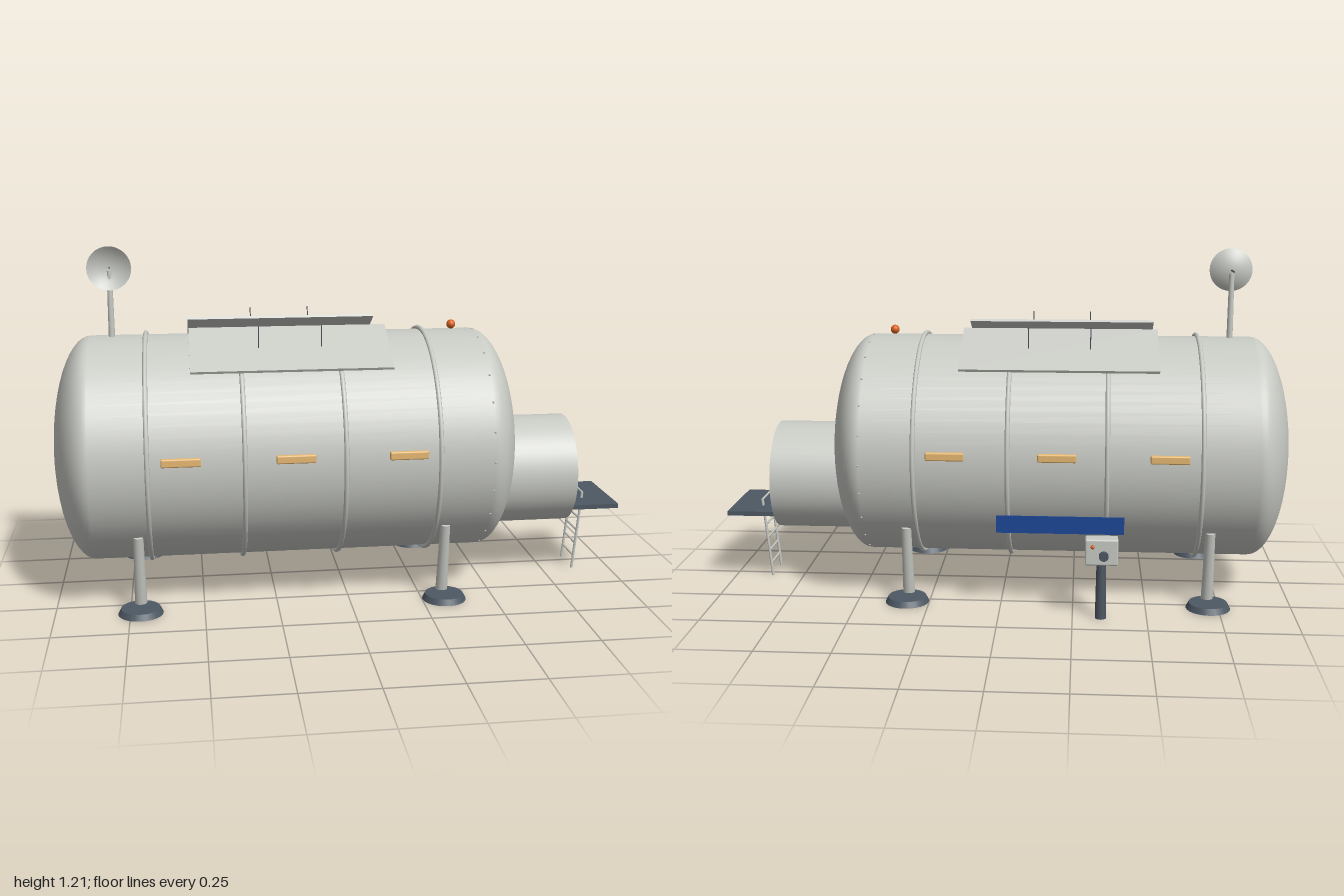
import * as THREE from 'three';
import { RoundedBoxGeometry } from 'three/addons/geometries/RoundedBoxGeometry.js';

const material = (name, color, side = THREE.FrontSide) => {
  const m = new THREE.MeshStandardMaterial({ color, side });
  m.name = name;
  return m;
};

export function createModel() {
  const hull = material('hull grey', 0xc8cac4);
  const shell = material('thin sheet grey', 0xc8cac4, THREE.DoubleSide);
  const slate = material('dark slate', 0x4d5863);
  const orange = material('signal orange', 0xd8601f);
  const amber = material('window amber', 0xe6b872);
  const blue = material('panel blue', 0x1c4796);

  const model = new THREE.Group();
  const Y = 0.507, Z = 0.027, R = 0.39;

  const add = (name, geometry, mat, x = 0, y = 0, z = 0) => {
    const mesh = new THREE.Mesh(geometry, mat);
    mesh.name = name;
    mesh.position.set(x, y, z);
    model.add(mesh);
    return mesh;
  };

  // Round bar between two points
  const bar = (name, a, b, rBottom, rTop, mat, sides = 12) => {
    const from = new THREE.Vector3(...a), to = new THREE.Vector3(...b);
    const dir = to.clone().sub(from);
    const mesh = add(name, new THREE.CylinderGeometry(rTop, rBottom, dir.length(), sides), mat);
    mesh.position.copy(from).add(to).multiplyScalar(0.5);
    mesh.quaternion.setFromUnitVectors(new THREE.Vector3(0, 1, 0), dir.normalize());
    return mesh;
  };

  // Pressure hull: cylinder with elliptical domes, lying along x
  const profile = [];
  const dome = 0.135, steps = 14;
  for (let i = 0; i <= steps; i++) {
    const t = (i / steps) * Math.PI / 2;
    profile.push(new THREE.Vector2(R * Math.sin(t), -0.865 - dome * Math.cos(t)));
  }
  for (let i = 0; i <= steps; i++) {
    const t = (i / steps) * Math.PI / 2;
    profile.push(new THREE.Vector2(R * Math.cos(t), 0.475 + dome * Math.sin(t)));
  }
  add('pressureHull', new THREE.LatheGeometry(profile, 64).rotateZ(-Math.PI / 2), hull, 0, Y, Z);

  // Hoops around the hull
  for (const x of [-0.676, -0.36, -0.027, 0.29]) {
    add('hullRing', new THREE.TorusGeometry(0.396, 0.008, 8, 40).rotateY(Math.PI / 2), hull, x, Y, Z);
  }

  // Rivets on the front dome seam
  for (let i = 0; i < 24; i++) {
    const a = (i / 24) * Math.PI * 2;
    add('rivet', new THREE.SphereGeometry(0.004, 6, 4), hull,
      0.475, Y + R * Math.cos(a), Z + R * Math.sin(a));
  }

  // Side windows and roof panels, mirrored about the hull axis
  for (const s of [1, -1]) {
    for (const x of [-0.567, -0.193, 0.182]) {
      add('sideWindow', new RoundedBoxGeometry(0.13, 0.028, 0.022, 2, 0.005), amber, x, 0.543, Z + s * 0.389);
    }
    const panel = add('roofPanel', new THREE.BoxGeometry(0.669, 0.009, 0.237), hull, -0.195, 0.88, Z + s * 0.2245);
    panel.rotation.x = s * 0.492;
    for (const x of [-0.3, -0.09]) {
      bar('panelStrut', [x, 0.815, Z + s * 0.2245], [x, 0.957, Z + s * 0.2245], 0.002, 0.002, slate, 6);
    }
  }

  // Support legs and foot pads
  for (const x of [-0.715, 0.327]) {
    for (const s of [1, -1]) {
      bar('leg', [x, 0.012, Z + s * 0.256], [x, 0.27, Z + s * 0.303], 0.021, 0.017, hull, 16);
      add('footPad', new THREE.CylinderGeometry(0.066, 0.076, 0.02, 24), slate, x, 0.01, Z + s * 0.302);
    }
  }

  // Airlock, door and porthole
  add('airlock', new THREE.CylinderGeometry(0.194, 0.194, 0.33, 48).rotateZ(-Math.PI / 2), hull, 0.665, 0.377, Z);
  add('airlockDoor', new RoundedBoxGeometry(0.024, 0.282, 0.186, 3, 0.01), hull, 0.83, 0.378, Z);
  add('portholeRim', new THREE.TorusGeometry(0.041, 0.007, 10, 32).rotateY(Math.PI / 2), orange, 0.843, 0.377, Z);

  // Entry platform and ladder
  add('platform', new THREE.BoxGeometry(0.168, 0.016, 0.298), slate, 0.916, 0.261, Z);
  const ladderX = (y) => 0.864 + y * 0.1;
  for (const s of [1, -1]) {
    bar('ladderRail', [ladderX(0), 0, Z + s * 0.061], [ladderX(0.29), 0.29, Z + s * 0.061], 0.005, 0.005, hull, 8);
  }
  for (let i = 1; i <= 6; i++) {
    const y = i * 0.0485;
    bar('ladderRung', [ladderX(y), y, Z - 0.061], [ladderX(y), y, Z + 0.061], 0.004, 0.004, hull, 8);
  }

  // Antenna mast, dish opening forward and feed rod
  bar('antennaMast', [-0.79, 0.87, Z], [-0.79, 1.122, Z], 0.011, 0.009, hull, 12);
  const bowl = [];
  for (let i = 0; i <= 8; i++) {
    const r = i / 8;
    bowl.push(new THREE.Vector2(0.075 * r, 0.026 * r * r));
  }
  add('antennaDish', new THREE.LatheGeometry(bowl, 32).rotateX(Math.PI / 2), shell, -0.79, 1.133, 0.029);
  bar('feedRod', [-0.79, 1.133, -0.035], [-0.79, 1.133, 0.032], 0.003, 0.003, slate, 8);

  // Roof beacon
  add('beacon', new THREE.SphereGeometry(0.016, 16, 12), orange, 0.4, 0.916, Z);

  // Blue plate along the rear side
  add('rearPlate', new THREE.BoxGeometry(0.43, 0.06, 0.003), blue, -0.205, 0.31, -0.352);

  // Control post with box, dial and button
  bar('controlPost', [-0.345, 0, -0.392], [-0.345, 0.2, -0.392], 0.019, 0.016, slate, 12);
  add('controlBox', new RoundedBoxGeometry(0.11, 0.09, 0.055, 2, 0.006), hull, -0.345, 0.237, -0.392);
  add('controlDial', new THREE.CylinderGeometry(0.016, 0.016, 0.02, 16).rotateX(Math.PI / 2), slate, -0.352, 0.227, -0.423);
  add('controlButton', new THREE.SphereGeometry(0.007, 10, 8), orange, -0.315, 0.257, -0.421);

  return model;
}
